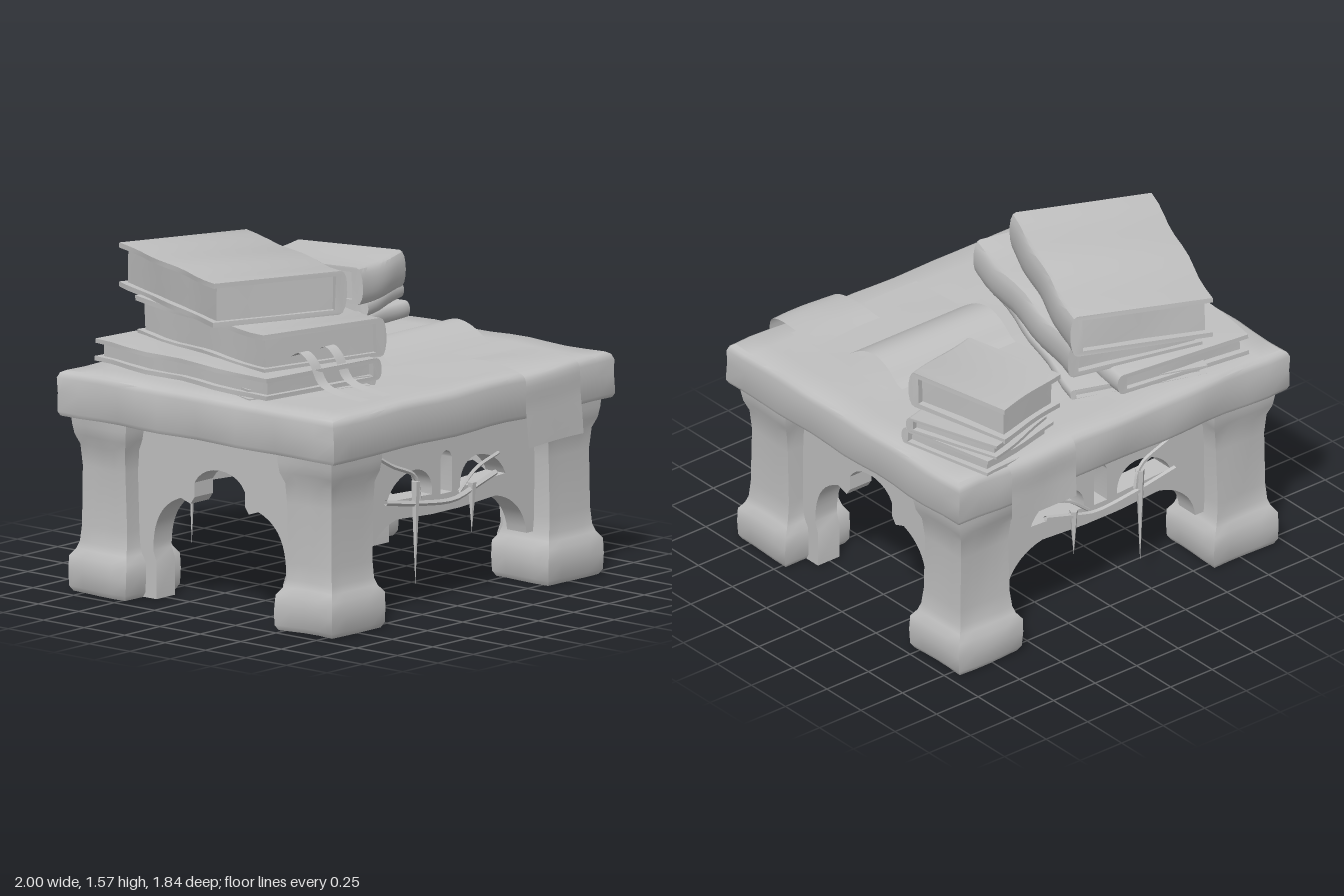
import * as THREE from 'three';
import { toCreasedNormals } from 'three/addons/utils/BufferGeometryUtils.js';

const stone = new THREE.MeshStandardMaterial({ color: 0xc0c0c0, side: THREE.DoubleSide });
stone.name = 'grey stone';

// Smooth position-based wear, so shared corners stay joined
function wear(geo, amount, seed = 0) {
  const p = geo.attributes.position;
  for (let i = 0; i < p.count; i++) {
    const x = p.getX(i), y = p.getY(i), z = p.getZ(i);
    p.setXYZ(i,
      x + amount * Math.sin(13 * z + 9 * y + seed),
      y + amount * Math.sin(9 * x + 2 + seed) * Math.sin(11 * z + 1),
      z + amount * Math.sin(12 * x + 8 * y + 2 * seed));
  }
  return geo;
}

function part(parent, name, geo, crease = 0.6) {
  const mesh = new THREE.Mesh(toCreasedNormals(geo, crease), stone);
  mesh.name = name;
  parent.add(mesh);
  return mesh;
}

// Rectangular block whose half-sizes follow a vertical profile of [y, halfX, halfZ]
function profiledBlock(profile, segX, segZ) {
  const n = profile.length - 1;
  const geo = new THREE.BoxGeometry(2, n, 2, segX, n, segZ);
  const p = geo.attributes.position;
  for (let i = 0; i < p.count; i++) {
    const [y, hx, hz] = profile[Math.round(p.getY(i) + n / 2)];
    p.setXYZ(i, p.getX(i) * hx, y, p.getZ(i) * hz);
  }
  return geo;
}

// Thin sheet running along [y, z] points between two x positions
function sheet(points, x0, x1, segs = 24, lean = 0) {
  const curve = new THREE.CatmullRomCurve3(points.map(([y, z]) => new THREE.Vector3(0, y, z)), false, 'centripetal');
  const geo = new THREE.PlaneGeometry(1, 1, 4, segs);
  const p = geo.attributes.position;
  for (let i = 0; i < p.count; i++) {
    const t = 0.5 - p.getY(i), c = curve.getPoint(t);
    p.setXYZ(i, THREE.MathUtils.lerp(x0, x1, p.getX(i) + 0.5) + lean * t, c.y, c.z);
  }
  return geo;
}

// Closed book with its rounded spine on local +x
function book(parent, name, [x, y, z], w, h, l, angle, seed) {
  const g = new THREE.Group();
  g.name = name;
  const t = Math.min(0.024, h * 0.2), r = w / 2, b = Math.min(0.035, h * 0.3);
  const s = new THREE.Shape();
  s.moveTo(-r, 0);
  s.lineTo(r - b, 0);
  s.bezierCurveTo(r + b * 0.4, 0, r + b * 0.4, h, r - b, h);
  s.lineTo(-r, h);
  s.lineTo(-r, h - t);
  s.lineTo(r - b - t, h - t);
  s.lineTo(r - b - t, t);
  s.lineTo(-r, t);
  const cover = new THREE.ExtrudeGeometry(s, { depth: l, bevelEnabled: false, steps: 10, curveSegments: 8 });
  cover.translate(0, 0, -l / 2);
  part(g, 'bookCover', wear(cover, 0.006, seed));
  const pages = new THREE.BoxGeometry(w - 0.06, h - t, l - 0.06, 4, 2, 6);
  pages.translate(0, h / 2, 0);
  part(g, 'bookPages', wear(pages, 0.004, seed));
  g.position.set(x, y, z);
  g.rotation.y = angle;
  parent.add(g);
}

// Hanging or creeping root
function root(parent, name, points, radius) {
  const curve = new THREE.CatmullRomCurve3(points.map((p) => new THREE.Vector3(...p)));
  part(parent, name, new THREE.TubeGeometry(curve, 14, radius, 5), 1);
}

export function createModel() {
  const model = new THREE.Group();
  model.name = 'stoneTable';

  // Worn table slab
  const slab = profiledBlock([
    [0.84, 0.985, 0.84], [0.86, 0.995, 0.85], [0.95, 0.99, 0.848],
    [1.02, 0.995, 0.85], [1.045, 0.985, 0.84], [1.057, 0.965, 0.82],
  ], 16, 14);
  part(model, 'tableTop', wear(slab, 0.005, 1), 0.7);

  // Four flared legs on rounded plinths
  const legProfile = [
    [0, 0.175], [0.025, 0.19], [0.1, 0.193], [0.17, 0.19], [0.205, 0.165], [0.24, 0.153], [0.32, 0.146],
    [0.6, 0.144], [0.7, 0.152], [0.75, 0.172], [0.8, 0.18], [0.845, 0.183],
  ].map(([y, h]) => [y, h, h * 0.93]);
  for (const sx of [-1, 1]) for (const sz of [-1, 1]) {
    const leg = wear(profiledBlock(legProfile, 4, 4), 0.004, sx + 2 * sz);
    leg.translate(sx * 0.77, 0, sz * 0.635);
    part(model, 'leg', leg, 0.7);
  }

  // Front and back arches with pierced tracery
  const arch = new THREE.Shape();
  arch.moveTo(-0.68, 0.845);
  arch.lineTo(-0.68, 0.24);
  arch.lineTo(-0.57, 0.24);
  arch.bezierCurveTo(-0.56, 0.34, -0.48, 0.43, -0.35, 0.455);
  arch.lineTo(-0.1, 0.44);
  arch.lineTo(0.1, 0.44);
  arch.lineTo(0.35, 0.455);
  arch.bezierCurveTo(0.48, 0.43, 0.56, 0.34, 0.57, 0.24);
  arch.lineTo(0.68, 0.24);
  arch.lineTo(0.68, 0.845);
  for (const s of [-1, 1]) {
    const lobe = new THREE.Path();
    lobe.moveTo(s * 0.1, 0.535);
    lobe.bezierCurveTo(s * 0.09, 0.63, s * 0.17, 0.68, s * 0.24, 0.67);
    lobe.bezierCurveTo(s * 0.34, 0.66, s * 0.4, 0.6, s * 0.42, 0.55);
    arch.holes.push(lobe);
  }
  const slot = new THREE.Path();
  slot.moveTo(-0.04, 0.525);
  slot.lineTo(0.04, 0.525);
  slot.lineTo(0.04, 0.69);
  slot.quadraticCurveTo(0.03, 0.725, 0, 0.728);
  slot.quadraticCurveTo(-0.03, 0.725, -0.04, 0.69);
  arch.holes.push(slot);
  for (const z of [-0.62, 0.62]) {
    const geo = new THREE.ExtrudeGeometry(arch, { depth: 0.12, bevelEnabled: false, curveSegments: 10 });
    geo.translate(0, 0, z - 0.06);
    part(model, z > 0 ? 'frontArch' : 'backArch', geo);
  }

  // Side arches with a cusped opening
  const side = new THREE.Shape();
  side.moveTo(-0.55, 0.845);
  side.lineTo(-0.55, 0);
  side.lineTo(-0.39, 0);
  side.lineTo(-0.39, 0.18);
  side.lineTo(-0.41, 0.23);
  side.bezierCurveTo(-0.41, 0.36, -0.37, 0.46, -0.24, 0.505);
  side.lineTo(-0.18, 0.485);
  side.lineTo(-0.155, 0.52);
  side.lineTo(-0.155, 0.59);
  side.bezierCurveTo(-0.1, 0.695, 0.1, 0.695, 0.155, 0.59);
  side.lineTo(0.155, 0.52);
  side.lineTo(0.18, 0.485);
  side.lineTo(0.24, 0.505);
  side.bezierCurveTo(0.37, 0.46, 0.41, 0.36, 0.41, 0.23);
  side.lineTo(0.39, 0.18);
  side.lineTo(0.39, 0);
  side.lineTo(0.55, 0);
  side.lineTo(0.55, 0.845);
  for (const x of [-0.76, 0.76]) {
    const geo = new THREE.ExtrudeGeometry(side, { depth: 0.13, bevelEnabled: false, curveSegments: 10 });
    geo.translate(0, 0, -0.065);
    geo.rotateY(Math.PI / 2);
    geo.translate(x, 0, 0);
    part(model, 'sideArch', geo);
  }

  // Roots creeping over the tracery, with tapering hanging tips
  for (const s of [1, -1]) {
    const z = s * 0.69;
    root(model, 'root', [[-0.56, 0.81, z], [-0.4, 0.72, z], [-0.23, 0.64, z], [-0.2, 0.53, z]], 0.011);
    root(model, 'root', [[-0.44, 0.55, z], [-0.2, 0.51, z], [0.05, 0.49, z], [0.2, 0.53, z], [0.34, 0.57, z]], 0.014);
    root(model, 'root', [[0.08, 0.52, z], [0.2, 0.61, z], [0.36, 0.66, z]], 0.009);
    for (const [x, top, tip] of [[-0.23, 0.62, 0.12], [0.17, 0.55, 0.31]]) {
      const spike = new THREE.ConeGeometry(0.022, top - tip, 5);
      spike.rotateX(Math.PI);
      spike.translate(x, (top + tip) / 2, z);
      part(model, 'hangingRoot', spike, 1);
    }
  }

  // Large stack of books
  book(model, 'bottomBook', [-0.42, 1.05, -0.15], 0.68, 0.055, 1.1, -0.33, 1);
  book(model, 'lowerBook', [-0.52, 1.075, -0.153], 0.72, 0.105, 1.2, -0.12, 2);
  book(model, 'middleBook', [-0.37, 1.17, -0.135], 0.7, 0.185, 1.05, -0.25, 3);
  book(model, 'topBook', [-0.35, 1.355, -0.325], 0.69, 0.21, 1.0, -0.4, 4);

  // Small stack of books, spines to the front
  book(model, 'smallBottomBook', [0.65, 1.06, -0.57], 0.52, 0.08, 0.48, -1.38, 5);
  book(model, 'smallMiddleBook', [0.66, 1.14, -0.57], 0.5, 0.075, 0.44, -1.25, 6);
  book(model, 'smallTopBook', [0.59, 1.21, -0.545], 0.57, 0.18, 0.42, -1.35, 7);

  // Loose parchment, curled page and cloths falling over the edges
  part(model, 'parchment', wear(sheet([[1.07, -0.15], [1.075, 0.2], [1.068, 0.72]], -0.04, 0.71), 0.004, 2));
  part(model, 'curledPage', sheet([[1.085, 0.38], [1.1, 0.36], [1.155, 0.27], [1.175, 0.18], [1.15, 0.09], [1.09, 0.01], [1.08, -0.02]], -0.03, 0.655), 1);
  part(model, 'frontCloth', wear(sheet([[1.085, 0.54], [1.09, 0.7], [1.075, 0.85], [1.05, 0.893], [0.9, 0.9], [0.72, 0.905]], 0.325, 0.705), 0.006, 3), 1);
  part(model, 'backCloth', wear(sheet([[1.068, -0.22], [1.072, -0.6], [1.075, -0.83], [1.04, -0.87], [0.9, -0.875], [0.77, -0.88]], 0.31, 0.7), 0.004, 1), 1);

  // Ribbon bookmarks hanging from the middle book
  for (const [x, w, lean] of [[-0.7, 0.065, 0.06], [-0.51, 0.065, 0.03]]) {
    const pts = [[1.24, 0.33], [1.26, 0.37], [1.22, 0.42], [1.12, 0.47], [1.085, 0.55], [1.068, 0.71]];
    part(model, 'ribbon', sheet(pts, x, x + w, 20, lean), 1);
  }

  return model;
}
